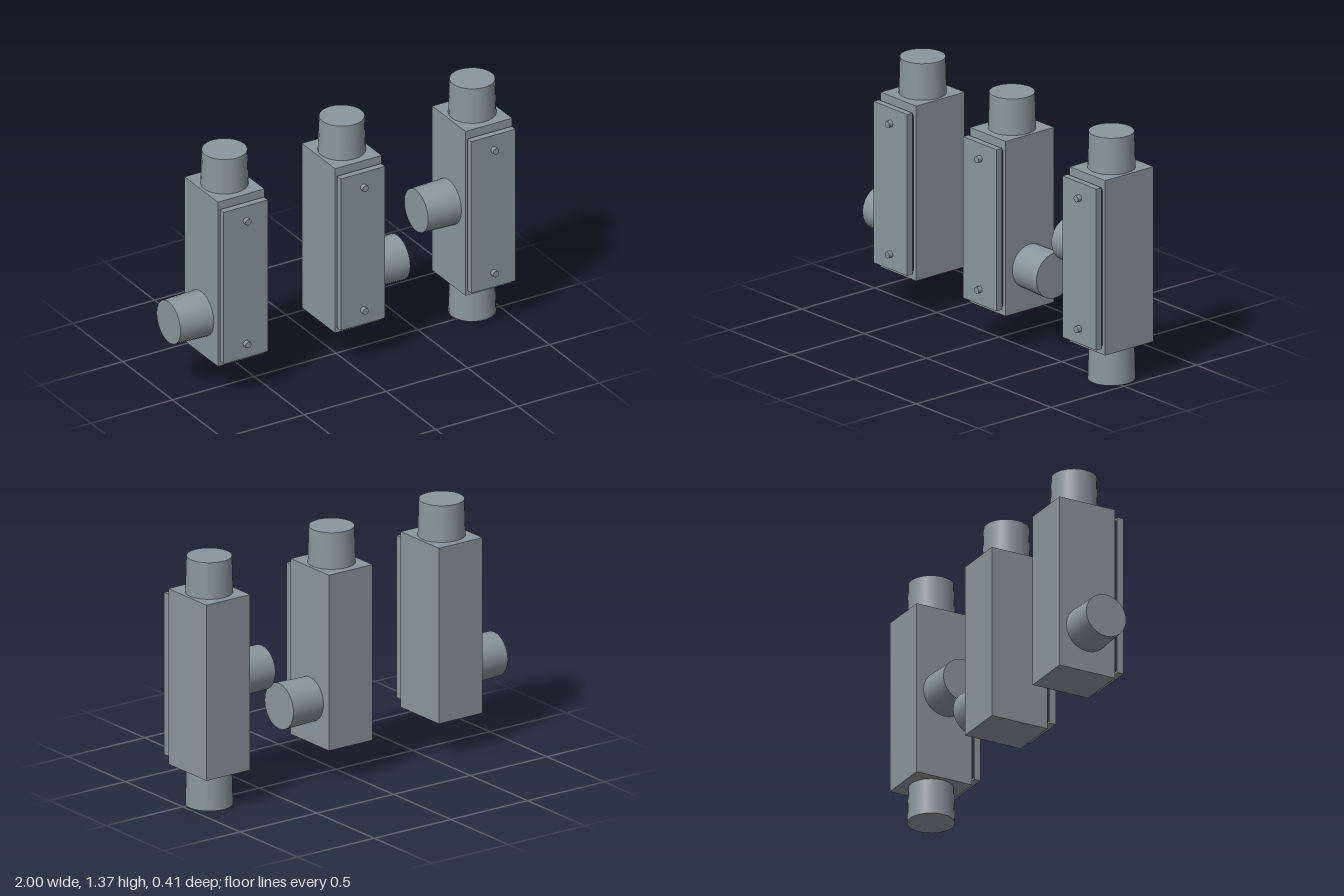
import * as THREE from 'three';

const metal = new THREE.MeshStandardMaterial({ color: 0x8a969e });
metal.name = 'greyMetal';
const rubber = new THREE.MeshStandardMaterial({ color: 0x2a333b });
rubber.name = 'darkRubber';

const PIPE_Z = -0.038; // pipe axis depth
const BOTTOM = 0.2, TOP = 1.17; // housing extents
const WIDTH = 0.285, LENGTH = 0.2;

function add(parent, name, geometry, material, x, y, z) {
  const mesh = new THREE.Mesh(geometry, material);
  mesh.name = name;
  mesh.position.set(x, y, z);
  parent.add(mesh);
  return mesh;
}

// Box spanning y0..y1 and z0..z1
function slab(parent, name, material, x, width, y0, y1, z0, z1) {
  const geometry = new THREE.BoxGeometry(width, y1 - y0, z1 - z0);
  return add(parent, name, geometry, material, x, (y0 + y1) / 2, (z0 + z1) / 2);
}

// Slightly tapered conduit hub, narrow end along its own +y
function hub(parent, name, x, y) {
  const geometry = new THREE.CylinderGeometry(0.12, 0.126, LENGTH, 24);
  return add(parent, name, geometry, metal, x, y, PIPE_Z);
}

function conduitBody(name, x, sideDirection, sideY, hasBottomHub) {
  const body = new THREE.Group();
  body.name = name;
  body.position.x = x;

  slab(body, 'housing', metal, 0, WIDTH, BOTTOM, TOP, -0.205, 0.128);
  slab(body, 'gasket', rubber, -0.004, 0.25, 0.25, 1.115, 0.128, 0.143);
  slab(body, 'cover', metal, -0.004, 0.27, 0.237, 1.132, 0.143, 0.18);

  // Cover screws
  for (const y of [0.322, 1.047]) {
    const screw = add(body, 'coverScrew', new THREE.CylinderGeometry(0.018, 0.018, 0.025, 16),
      metal, -0.002, y, 0.1925);
    screw.rotation.x = Math.PI / 2;
  }

  // Hubs: top, side and optional bottom
  hub(body, 'topHub', 0, TOP + LENGTH / 2);
  const side = hub(body, 'sideHub', sideDirection * (WIDTH + LENGTH) / 2, sideY);
  side.rotation.z = Math.PI / 2;
  if (hasBottomHub) hub(body, 'bottomHub', 0, BOTTOM - LENGTH / 2);
  return body;
}

export function createModel() {
  const model = new THREE.Group();
  model.name = 'conduitBodies';
  model.add(
    conduitBody('rightElbowBody', -0.659, -1, 0.442, false),
    conduitBody('leftElbowBody', 0.058, 1, 0.442, false),
    conduitBody('teeBody', 0.856, -1, 0.683, true),
  );
  return model;
}
